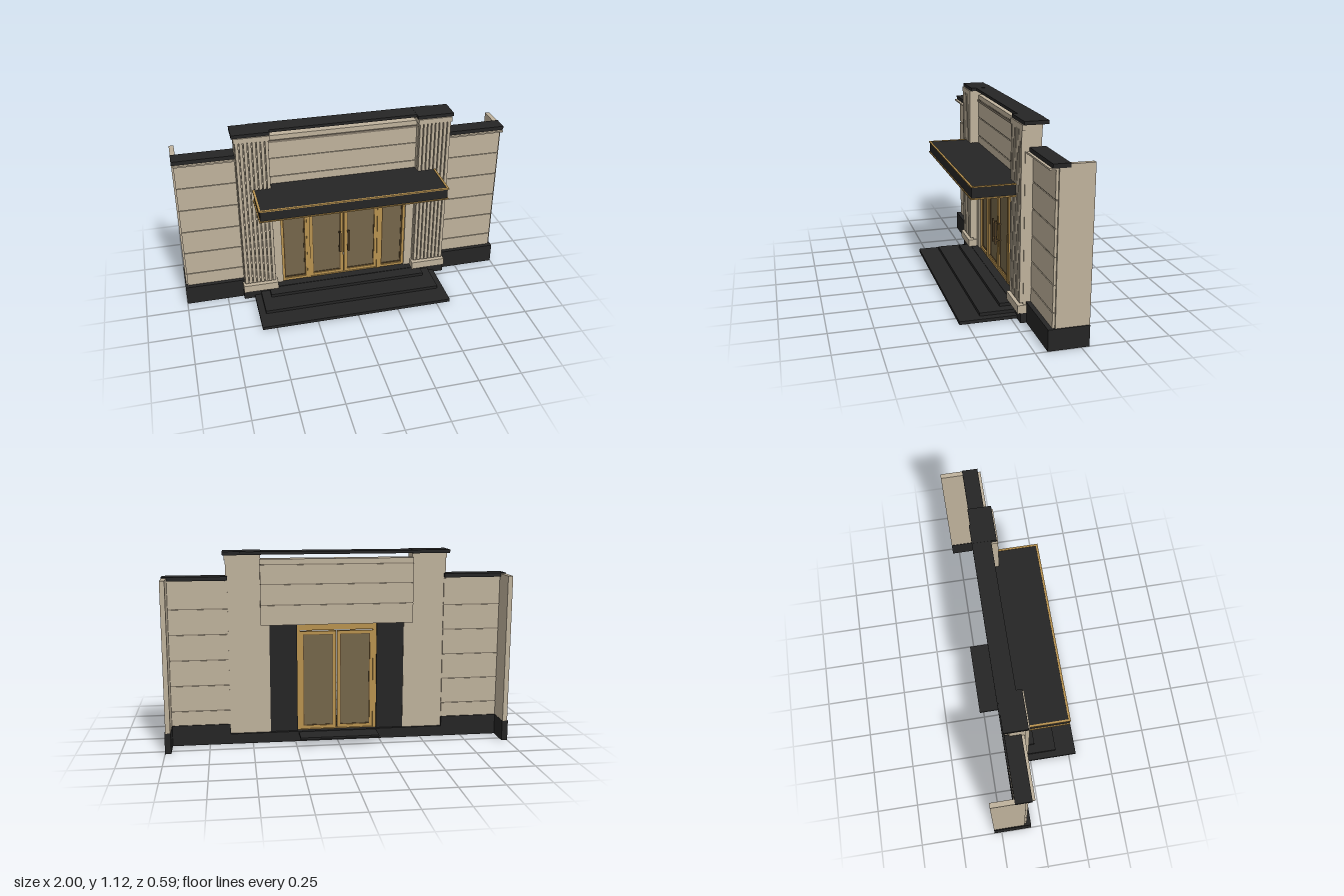
import * as THREE from 'three';

const mat = (name, color, extra = {}) => {
  const m = new THREE.MeshStandardMaterial({ color, ...extra });
  m.name = name;
  return m;
};

export function createModel() {
  const stone = mat('stone', 0xbfb29c);
  const joint = mat('stone joint', 0x857b6b);
  const black = mat('black granite', 0x252525);
  const bronze = mat('bronze', 0xb8924f);
  const glass = mat('tinted glass', 0x75664a);
  const dark = mat('dark bronze', 0x5e4a2e);
  const lamp = mat('lamp', 0xe8dcc0);

  const root = new THREE.Group();
  root.name = 'entrance';
  const group = (name, parent = root) => {
    const g = new THREE.Group();
    g.name = name;
    parent.add(g);
    return g;
  };
  // Box given by its limits along each axis
  const box = (parent, name, m, x0, x1, y0, y1, z0, z1) => {
    const mesh = new THREE.Mesh(new THREE.BoxGeometry(Math.abs(x1 - x0), y1 - y0, Math.abs(z1 - z0)), m);
    mesh.position.set((x0 + x1) / 2, (y0 + y1) / 2, (z0 + z1) / 2);
    mesh.name = name;
    parent.add(mesh);
    return mesh;
  };
  // Stone courses around a slightly recessed core
  const courses = (parent, x0, x1, ys, z0, z1) => {
    box(parent, 'jointCore', joint, x0 + 0.002, x1 - 0.002, ys[0], ys[ys.length - 1] - 0.002, z0 + 0.005, z1 - 0.005);
    for (let i = 0; i < ys.length - 1; i++) {
      const top = ys[i + 1] - (i < ys.length - 2 ? 0.006 : 0);
      box(parent, 'stoneCourse', stone, x0, x1, ys[i], top, z0, z1);
    }
  };
  // Rectangular frame of four bars
  const frame = (parent, name, m, x0, x1, y0, y1, t, z0, z1, bottom = t) => {
    box(parent, name, m, x0, x0 + t, y0, y1, z0, z1);
    box(parent, name, m, x1 - t, x1, y0, y1, z0, z1);
    box(parent, name, m, x0 + t, x1 - t, y1 - t, y1, z0, z1);
    box(parent, name, m, x0 + t, x1 - t, y0, y0 + bottom, z0, z1);
  };

  for (const s of [1, -1]) {
    const side = s > 0 ? 'left' : 'right';
    // Mirrored box and its sorted x limits
    const mx = (a, b) => (s > 0 ? [a, b] : [-b, -a]);
    const sb = (g, name, m, a, b, ...r) => box(g, name, m, ...mx(a, b), ...r);

    // Side wing with end return wall
    const wing = group(side + 'Wing');
    courses(wing, ...mx(0.63, 0.985), [0.12, 0.208, 0.358, 0.507, 0.656, 0.803, 0.955], -0.148, -0.093);
    sb(wing, 'wingPlinth', black, 0.63, 1, 0, 0.12, -0.155, -0.067);
    sb(wing, 'wingMoulding', stone, 0.64, 0.988, 0.953, 0.962, -0.148, -0.057);
    sb(wing, 'wingCap', black, 0.63, 0.996, 0.962, 0.985, -0.165, -0.073);
    sb(wing, 'returnWall', stone, 0.967, 0.995, 0.12, 0.98, -0.295, -0.107);
    sb(wing, 'returnPlinth', black, 0.965, 1, 0, 0.12, -0.295, -0.155);

    // Fluted pylon
    const pylon = group(side + 'Pylon');
    sb(pylon, 'pylonCore', stone, 0.445, 0.64, 0.06, 1.08, -0.14, -0.05);
    const ribs = 8, pitch = 0.195 / ribs;
    for (let i = 0; i < ribs; i++) {
      const x = 0.445 + i * pitch;
      sb(pylon, 'pylonRib', stone, x + 0.003, x + pitch - 0.003, 0.115, 1.075, -0.052, -0.03);
    }
    sb(pylon, 'pylonBase', stone, 0.435, 0.65, 0.058, 0.105, -0.07, -0.016);
    sb(pylon, 'pylonHead', stone, 0.44, 0.645, 1.075, 1.105, -0.14, -0.03);
    sb(pylon, 'pylonCap', black, 0.437, 0.655, 1.105, 1.125, -0.172, -0.038);

    // Jamb and backing of the side light
    sb(root, 'jamb', stone, 0.395, 0.446, 0.06, 0.7, -0.14, -0.075);
    sb(root, 'sideLightBacking', black, 0.235, 0.395, 0.06, 0.7, -0.135, -0.125);

    // Side light
    const light = group(side + 'SideLight');
    frame(light, 'sideLightFrame', bronze, ...mx(0.232, 0.395), 0.06, 0.695, 0.016, -0.12, -0.085);
    frame(light, 'sideLightBead', dark, ...mx(0.248, 0.379), 0.076, 0.679, 0.006, -0.112, -0.095);
    sb(light, 'sideLightGlass', glass, 0.25, 0.377, 0.078, 0.677, -0.108, -0.1);

    // Door leaf with pull handle
    const door = group(side + 'Door');
    frame(door, 'doorFrame', bronze, ...mx(0.003, 0.216), 0.064, 0.652, 0.018, -0.115, -0.09);
    frame(door, 'doorBead', dark, ...mx(0.021, 0.198), 0.082, 0.634, 0.004, -0.11, -0.096);
    sb(door, 'doorGlass', glass, 0.02, 0.199, 0.08, 0.636, -0.107, -0.1);
    sb(door, 'doorHandle', dark, 0.022, 0.034, 0.235, 0.385, -0.072, -0.062);
    for (const y of [0.255, 0.36]) sb(door, 'handleBracket', dark, 0.024, 0.032, y, y + 0.008, -0.1, -0.066);
    sb(root, 'doorPost', bronze, 0.216, 0.236, 0.06, 0.7, -0.122, -0.082);
  }

  // Door head and sill
  box(root, 'doorHead', bronze, -0.232, 0.232, 0.66, 0.7, -0.122, -0.082);
  box(root, 'upperRail', bronze, -0.395, 0.395, 0.688, 0.7, -0.12, -0.083);
  box(root, 'doorSill', bronze, -0.395, 0.395, 0.058, 0.063, -0.12, -0.085);

  // Frieze above the doors
  const frieze = group('frieze');
  courses(frieze, -0.445, 0.445, [0.7, 0.82, 0.939, 1.052, 1.08], -0.16, -0.085);
  box(frieze, 'friezeBand', joint, -0.445, 0.445, 1.036, 1.05, -0.087, -0.08);
  box(frieze, 'centreCap', black, -0.555, 0.555, 1.107, 1.124, -0.178, -0.07);

  // Canopy with bronze edge trims
  const canopy = group('canopy');
  box(canopy, 'canopyBody', black, -0.55, 0.55, 0.702, 0.768, -0.085, 0.215);
  for (const y of [0.698, 0.764]) {
    box(canopy, 'canopyFrontTrim', bronze, -0.557, 0.557, y, y + 0.007, 0.208, 0.22);
    for (const s of [1, -1]) box(canopy, 'canopySideTrim', bronze, s * 0.545, s * 0.557, y, y + 0.007, -0.03, 0.208);
  }
  for (const x of [-0.36, -0.12, 0.12, 0.36]) {
    const disc = new THREE.Mesh(new THREE.CylinderGeometry(0.015, 0.015, 0.006, 20), lamp);
    disc.position.set(x, 0.699, 0.1);
    disc.name = 'downlight';
    canopy.add(disc);
  }

  // Base, inner floor and front steps
  const base = group('base');
  box(base, 'centrePlinth', black, -0.65, 0.65, 0, 0.06, -0.155, -0.033);
  box(base, 'innerFloor', black, -0.23, 0.23, 0.045, 0.057, -0.275, -0.1);
  [[0.585, 0.295], [0.545, 0.17], [0.49, 0.04]].forEach(([w, z], i) => {
    box(base, 'step', black, -w, w, i * 0.019, (i + 1) * 0.019, -0.06, z);
  });

  return root;
}
